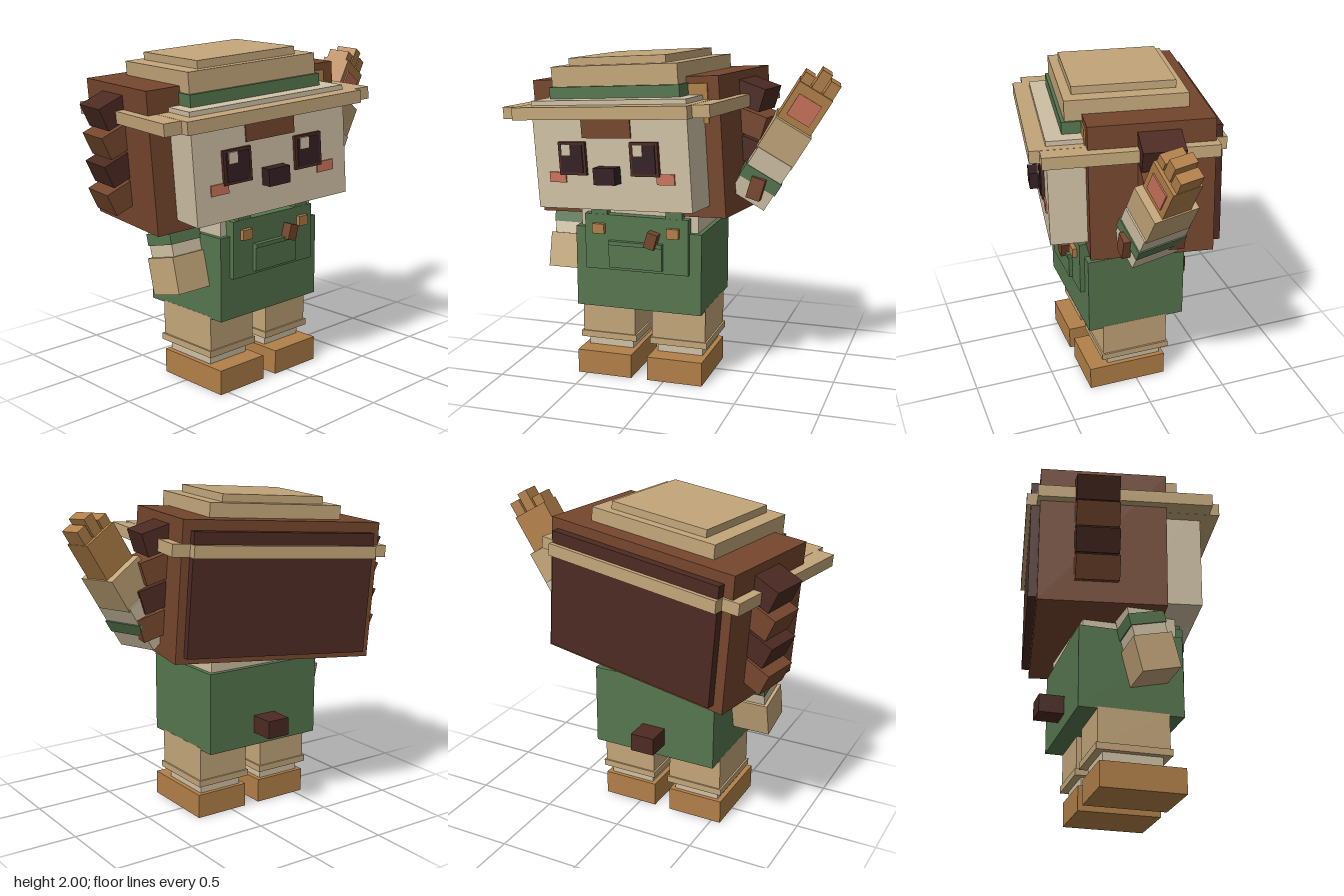
import * as THREE from 'three';

const mat = (name, color) => {
  const m = new THREE.MeshStandardMaterial({ color });
  m.name = name;
  return m;
};

export function createModel() {
  const cream = mat('cream', 0xd0c1a5), tan = mat('tan', 0xc3a67a), green = mat('green', 0x56764f);
  const orange = mat('orange leather', 0xb28049), brown = mat('brown', 0x75462d);
  const dark = mat('dark brown', 0x4c2a22), black = mat('eye black', 0x342024), pink = mat('pink', 0xca745c);

  const model = new THREE.Group();
  model.name = 'character';

  // Box given by its extents on each axis
  const box = (parent, name, material, [x0, x1], [y0, y1], [z0, z1]) => {
    const m = new THREE.Mesh(new THREE.BoxGeometry(x1 - x0, y1 - y0, z1 - z0), material);
    m.position.set((x0 + x1) / 2, (y0 + y1) / 2, (z0 + z1) / 2);
    m.name = name;
    parent.add(m);
    return m;
  };
  const group = (name, x, y, z) => {
    const g = new THREE.Group();
    g.name = name;
    g.position.set(x, y, z);
    model.add(g);
    return g;
  };
  const about = (c, size) => [c - size / 2, c + size / 2];

  // Body, with everything centred on its own middle
  const body = group('body', -0.157, 0, 0);
  box(body, 'overalls', green, [-0.397, 0.397], [0.45, 0.95], [-0.31, 0.31]);
  box(body, 'shirt', cream, [-0.37, 0.37], [0.94, 1.1], [-0.28, 0.28]);
  box(body, 'bib', green, [-0.325, 0.325], [0.7, 1.04], [0.28, 0.34]);
  box(body, 'pocket', green, [-0.168, 0.168], [0.72, 0.865], [0.33, 0.362]);
  box(body, 'pocketFlap', green, [-0.168, 0.168], [0.86, 0.885], [0.33, 0.37]);
  const leaf = box(body, 'pocketTool', brown, about(0.108, 0.065), about(0.91, 0.095), [0.335, 0.4]);
  leaf.rotation.z = -0.28;
  box(body, 'tail', dark, [-0.075, 0.075], [0.53, 0.64], [-0.46, -0.3]);

  for (const s of [-1, 1]) {
    box(body, 'strap', green, about(s * 0.235, 0.1), [1.03, 1.13], [0.27, 0.338]);
    box(body, 'button', orange, about(s * 0.233, 0.075), [0.925, 0.985], [0.335, 0.367]);
    box(body, 'trouserLeg', tan, about(s * 0.227, 0.342), [0.24, 0.46], [-0.2, 0.22]);
    box(body, 'trouserCuff', tan, about(s * 0.227, 0.364), [0.21, 0.25], [-0.21, 0.23]);
    box(body, 'sock', cream, about(s * 0.227, 0.29), [0.14, 0.215], [-0.165, 0.185]);
    box(body, 'shoe', orange, about(s * 0.227, 0.35), [0, 0.15], [-0.19, 0.31]);
  }

  // Lowered arm, swung slightly forward
  const lowArm = group('loweredArm', -0.66, 1.04, 0);
  lowArm.rotation.x = -0.24;
  box(lowArm, 'sleeve', cream, [-0.105, 0.11], [-0.25, 0.04], [-0.1, 0.1]);
  box(lowArm, 'sleeveBand', green, [-0.112, 0.112], [-0.145, -0.075], [-0.107, 0.107]);
  box(lowArm, 'hand', tan, [-0.125, 0.115], [-0.43, -0.215], [-0.115, 0.115]);

  // Raised waving arm, built along its own y axis from the sleeve band
  const upArm = group('raisedArm', 0.53, 1.283, 0.02);
  upArm.rotation.set(-0.04, 0, -0.54);
  const arm = new THREE.Group();
  arm.name = 'armParts';
  arm.rotation.y = 0.2;
  upArm.add(arm);
  box(arm, 'sleeve', cream, [-0.115, 0.115], [-0.15, 0.16], [-0.15, 0.15]);
  box(arm, 'sleeveBand', green, [-0.122, 0.122], [-0.04, 0.04], [-0.157, 0.157]);
  box(arm, 'forearm', tan, [-0.12, 0.12], [0.14, 0.36], [-0.14, 0.14]);
  box(arm, 'hand', orange, [-0.112, 0.112], [0.34, 0.6], [-0.09, 0.09]);
  box(arm, 'palm', pink, [-0.075, 0.075], [0.4, 0.54], [0.085, 0.098]);
  [0.66, 0.72, 0.69].forEach((tip, i) =>
    box(arm, 'finger', orange, about((i - 1) * 0.077, 0.065), [0.59, tip], [-0.07, 0.07]));
  const patch = box(model, 'sleevePatch', brown, about(0.535, 0.085), about(1.225, 0.13), [-0.02, 0.21]);
  patch.rotation.z = -0.28;

  // Head, turned and tilted, with its origin in the middle of the hat brim
  const head = group('head', -0.226, 1.675, -0.012);
  head.rotation.set(0, -0.175, 0.07);
  box(head, 'hair', brown, [-0.64, 0.63], [-0.65, 0.171], [-0.485, 0.24]);
  box(head, 'backHair', dark, [-0.58, 0.58], [-0.61, 0.11], [-0.535, -0.47]);
  box(head, 'face', cream, [-0.51, 0.53], [-0.58, 0.065], [0, 0.46]);
  box(head, 'fringe', brown, [-0.165, 0.165], [-0.155, -0.04], [0.45, 0.469]);
  box(head, 'nose', black, about(0.005, 0.145), about(-0.37, 0.1), [0.45, 0.53]);
  for (const s of [-1, 1]) {
    const x = s * 0.243 + 0.006;
    box(head, 'eye', dark, about(x, 0.185), about(-0.275, 0.197), [0.45, 0.48]);
    box(head, 'pupil', black, about(x, 0.15), about(-0.275, 0.165), [0.475, 0.486]);
    box(head, 'eyeGlint', cream, about(x - 0.032, 0.06), about(-0.222, 0.065), [0.482, 0.492]);
    box(head, 'cheek', pink, about(s * 0.365 + 0.01, 0.115), about(-0.39, 0.062), [0.45, 0.469]);
    // Side tufts alternate dark and mid brown
    for (let i = 0; i < 4; i++) {
      const tuft = box(head, 'hairTuft', i % 2 ? brown : dark,
        about(s * 0.675, 0.2), about(0.03 - i * 0.165, 0.14), [-0.285, -0.04]);
      tuft.rotation.z = -s * 0.36;
    }
  }
  box(head, 'hairClip', orange, [0.41, 0.56], [-0.1, 0.13], [0.23, 0.249]);

  // Hat: cross-shaped brim, band and stepped crown
  box(head, 'brimLong', tan, [-0.585, 0.585], [-0.037, 0.037], [-0.56, 0.56]);
  box(head, 'brimWide', tan, [-0.692, 0.692], [-0.036, 0.036], [-0.5, 0.5]);
  box(head, 'hatBand', green, [-0.44, 0.44], [0.05, 0.135], [-0.36, 0.36]);
  box(head, 'crown', tan, [-0.43, 0.425], [0.13, 0.255], [-0.375, 0.34]);
  box(head, 'crownTop', tan, [-0.335, 0.325], [0.25, 0.301], [-0.32, 0.285]);

  return model;
}
